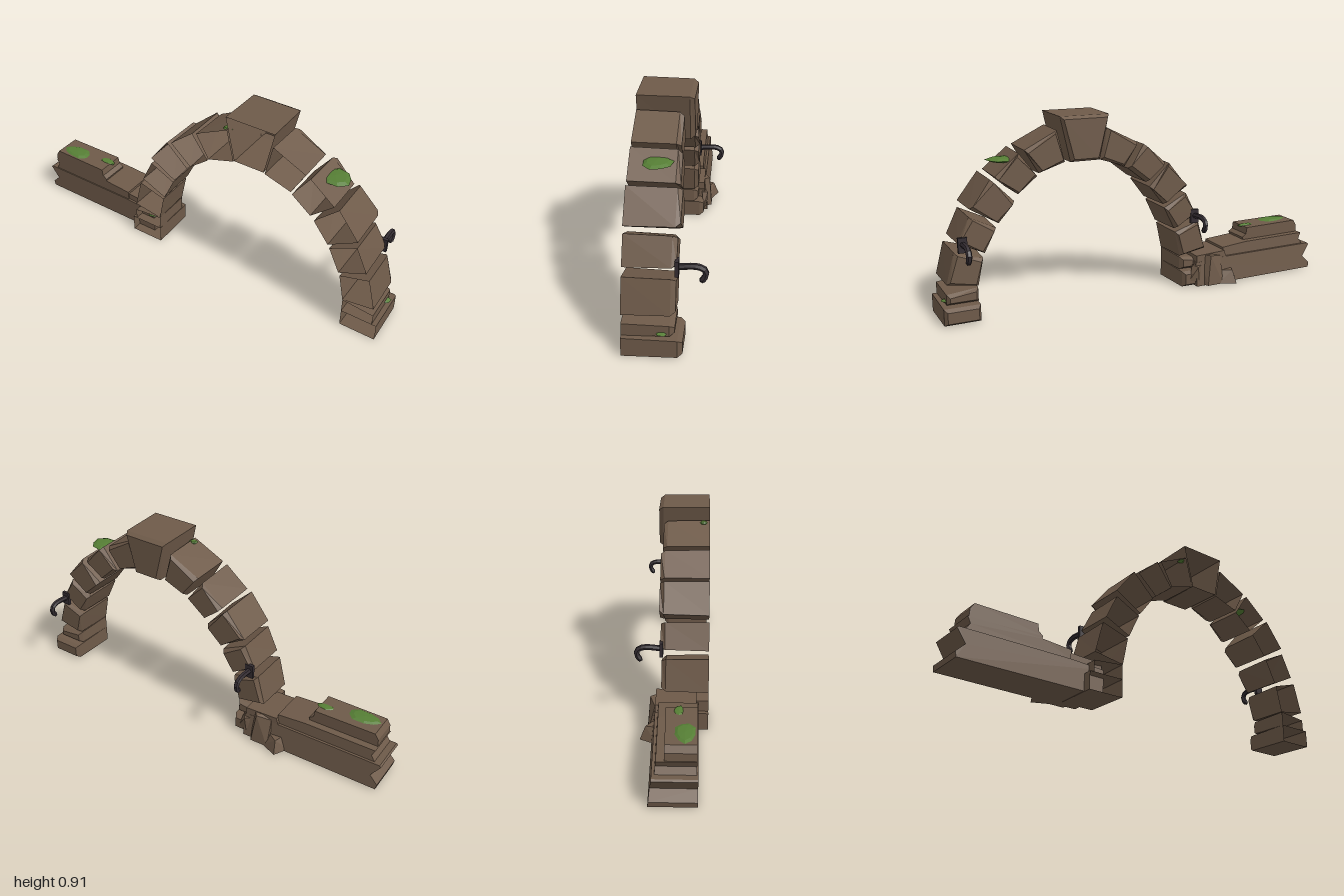
import * as THREE from 'three';
import { ConvexGeometry } from 'three/addons/geometries/ConvexGeometry.js';

const FRONT = 0.175, AXIS = 0.304; // open front plane and mirror axis of the arch

export function createModel() {
  const group = new THREE.Group();
  const material = (name, color) => new THREE.MeshStandardMaterial({
    name, color, flatShading: true, side: THREE.DoubleSide });
  const stone = material('brown stone', 0x6e5a49);
  const iron = material('dark iron', 0x332c31);
  const moss = material('green moss', 0x567f35);

  function add(name, geometry, mat) {
    const mesh = new THREE.Mesh(geometry, mat);
    mesh.name = name;
    group.add(mesh);
    return mesh;
  }

  // Hollow block: four walls, open at the front, chamfered closed back
  function shellBlock(corners, back, bevel = 0.016) {
    let pts = corners.map(([x, y]) => new THREE.Vector2(x, y));
    if (THREE.ShapeUtils.area(pts) < 0) pts = pts.reverse();
    const mid = pts.reduce((s, p) => s.add(p), new THREE.Vector2()).multiplyScalar(0.25);
    const pos = [], idx = [];
    const ring = (z, inset) => pts.forEach((p) => pos.push(
      p.x - Math.sign(p.x - mid.x) * inset, p.y - Math.sign(p.y - mid.y) * inset, z));
    ring(FRONT, 0);
    ring(back + bevel * 1.3, 0.003);
    ring(back, bevel);
    for (let r = 0; r < 2; r++) {
      for (let i = 0; i < 4; i++) {
        const a = r * 4 + i, b = r * 4 + (i + 1) % 4;
        idx.push(a, a + 4, b, b, a + 4, b + 4);
      }
    }
    idx.push(8, 10, 9, 8, 11, 10);
    const g = new THREE.BufferGeometry();
    g.setAttribute('position', new THREE.Float32BufferAttribute(pos, 3));
    g.setIndex(idx);
    const flat = g.toNonIndexed();
    flat.computeVertexNormals();
    return flat;
  }

  // Arch stones: left half corners, then back depth on the left and on the right
  const blocks = [
    [[[-0.387, 0.005], [-0.213, 0.005], [-0.213, 0.09], [-0.387, 0.09]], -0.072, -0.075],
    [[[-0.365, 0.09], [-0.213, 0.09], [-0.213, 0.16], [-0.365, 0.145]], -0.042, -0.042],
    [[[-0.362, 0.186], [-0.212, 0.162], [-0.184, 0.296], [-0.323, 0.338]], -0.045, -0.045],
    [[[-0.305, 0.372], [-0.176, 0.312], [-0.12, 0.43], [-0.248, 0.492]], -0.05, -0.045],
    [[[-0.247, 0.525], [-0.11, 0.446], [-0.034, 0.547], [-0.147, 0.655]], -0.058, -0.056],
    [[[-0.122, 0.662], [-0.014, 0.567], [0.082, 0.643], [-0.002, 0.76]], -0.058, -0.045],
    [[[0.022, 0.77], [0.088, 0.653], [0.222, 0.695], [0.186, 0.85]], -0.05, -0.034],
  ];
  blocks.forEach(([corners, left, right], i) => {
    const name = i < 2 ? 'archFoot' : 'archStone';
    add(name + 'Right' + i, shellBlock(corners, left), stone);
    add(name + 'Left' + i, shellBlock(corners.map(([x, y]) => [2 * AXIS - x, y]), right), stone);
  });
  add('keystone', shellBlock([[0.18, 0.918], [0.427, 0.918], [0.38, 0.7], [0.228, 0.7]], -0.075), stone);

  // Ruined wall courses: front outlines extruded back, leaning inwards at the top
  function course(name, outline, front, back, lean) {
    const shape = new THREE.Shape(outline.map(([x, y]) => new THREE.Vector2(x, y)));
    const g = new THREE.ExtrudeGeometry(shape, { depth: front - back, bevelEnabled: false });
    g.translate(0, 0, back);
    const p = g.attributes.position;
    for (let i = 0; i < p.count; i++) {
      if (p.getZ(i) < (front + back) / 2) p.setZ(i, p.getZ(i) + p.getY(i) * lean - 0.02 * (p.getX(i) + 1));
    }
    g.computeVertexNormals();
    add(name, g, stone);
  }
  course('wallBase', [[-0.99, 0.01], [-0.285, 0.008], [-0.285, 0.13], [-0.45, 0.14], [-0.99, 0.142],
    [-0.998, 0.135], [-0.955, 0.075], [-0.995, 0.035]], 0.13, -0.075, 0.12);
  course('wallMiddle', [[-0.96, 0.14], [-0.455, 0.14], [-0.455, 0.185], [-0.6, 0.197], [-0.955, 0.2],
    [-0.94, 0.17]], 0.125, -0.06, 0.1);
  course('wallEnd', [[-0.47, 0.13], [-0.29, 0.13], [-0.29, 0.165], [-0.455, 0.172]], 0.12, -0.065, 0.05);
  course('wallTop', [[-0.95, 0.195], [-0.605, 0.195], [-0.6, 0.21], [-0.622, 0.225], [-0.627, 0.26],
    [-0.93, 0.264], [-0.948, 0.235]], 0.125, -0.005, 0);

  // Broken stones leaning against the back of the wall
  const rubble = (name, points) =>
    add(name, new ConvexGeometry(points.map((p) => new THREE.Vector3(...p))), stone);
  rubble('rubbleShard', [[-0.53, 0.01, -0.06], [-0.49, 0.01, -0.138], [-0.4, 0.01, -0.1], [-0.4, 0.01, -0.05],
    [-0.48, 0.075, -0.112], [-0.5, 0.08, -0.05], [-0.4, 0.07, -0.06]]);
  rubble('rubbleStone', [[-0.45, 0.01, -0.05], [-0.43, 0.01, -0.105], [-0.34, 0.01, -0.108], [-0.31, 0.01, -0.05],
    [-0.43, 0.15, -0.07], [-0.36, 0.163, -0.095], [-0.32, 0.165, -0.04], [-0.45, 0.165, 0.02]]);
  rubble('rubbleChip', [[-0.35, 0.03, -0.06], [-0.3, 0.03, -0.085], [-0.25, 0.04, -0.07],
    [-0.34, 0.12, -0.06], [-0.29, 0.11, -0.09], [-0.27, 0.12, -0.06]]);

  // Iron hooks with wall plates
  for (const [side, x] of [['Left', 0.892], ['Right', -0.284]]) {
    const plate = add('hookPlate' + side, new THREE.BoxGeometry(0.042, 0.07, 0.016), iron);
    plate.position.set(x, 0.371, -0.046);
    const path = new THREE.CatmullRomCurve3([[0.374, -0.045], [0.379, -0.125], [0.368, -0.154],
      [0.345, -0.162], [0.318, -0.147]].map(([y, z]) => new THREE.Vector3(x, y, z)));
    add('hook' + side, new THREE.TubeGeometry(path, 9, 0.0135, 6), iron);
    const end = path.getPoint(1);
    const tip = add('hookTip' + side, new THREE.IcosahedronGeometry(0.0135, 0), iron);
    tip.position.copy(end);
  }

  // Moss pads: thin irregular lens shapes
  function mossPad(name, x, y, z, width, depth, height) {
    const g = new THREE.SphereGeometry(1, 9, 4);
    const p = g.attributes.position;
    for (let i = 0; i < p.count; i++) {
      const a = Math.atan2(p.getZ(i), p.getX(i));
      const k = 0.92 + 0.08 * Math.sin(a * 3 + x * 9);
      p.setXYZ(i, p.getX(i) * k, p.getY(i), p.getZ(i) * k);
    }
    g.scale(width / 2, height / 2, depth / 2);
    g.computeVertexNormals();
    add(name, g, moss).position.set(x, y, z);
  }
  mossPad('mossArch', 0.668, 0.722, 0.055, 0.165, 0.14, 0.024);
  mossPad('mossFootLeft', 0.92, 0.106, 0.012, 0.15, 0.085, 0.018);
  mossPad('mossFootRight', -0.3, 0.106, 0.1, 0.09, 0.085, 0.018);
  mossPad('mossKeystone', 0.175, 0.842, 0.145, 0.05, 0.04, 0.018);
  mossPad('mossWallLarge', -0.84, 0.262, 0.075, 0.18, 0.1, 0.02);
  mossPad('mossWallSmall', -0.655, 0.258, 0.045, 0.1, 0.05, 0.016);
  return group;
}
